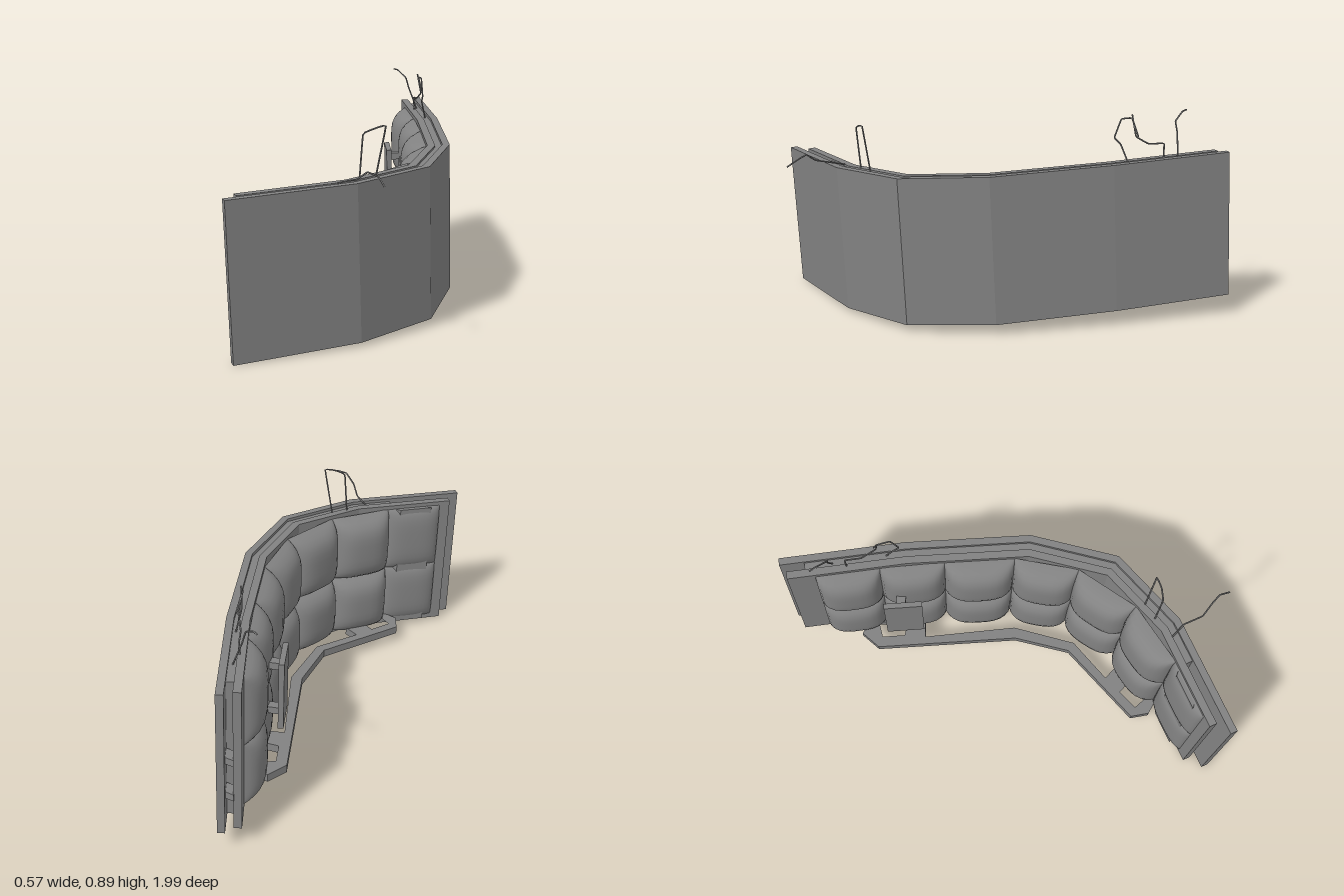
import * as THREE from 'three';

const flatMat = new THREE.MeshStandardMaterial({ color: 0x828282, flatShading: true });
const softMat = new THREE.MeshStandardMaterial({ color: 0x828282, side: THREE.DoubleSide });

// Plan of the wall's convex face as [x, z], from the front end to the rear end
const PLAN = [[-0.257, 0.98], [0.112, 0.633], [0.288, 0.318], [0.252, -0.055], [0.045, -0.53], [-0.196, -0.985]]
  .map(([x, z]) => new THREE.Vector2(x, z));

const inward = (a, b) => {
  const d = b.clone().sub(a).normalize();
  return new THREE.Vector2(d.y, -d.x);
};

// Plan moved towards the concave side, with mitred corners and shortened ends
function offsetPlan(dist, trimFront = 0, trimRear = 0) {
  const pts = PLAN.map((p, i) => {
    const n0 = inward(PLAN[Math.max(i - 1, 0)], PLAN[Math.max(i, 1)]);
    const n1 = i < PLAN.length - 1 ? inward(p, PLAN[i + 1]) : n0;
    const m = n0.clone().add(n1).normalize();
    return p.clone().addScaledVector(m, dist / m.dot(n0));
  });
  const pull = (a, b, t) => a.addScaledVector(b.clone().sub(a).normalize(), t);
  pull(pts[0], pts[1], trimFront);
  pull(pts[5], pts[4], trimRear);
  return pts;
}

// Horizontal outline raised from y0 by a height
function slab(name, pts, y0, height, holes = []) {
  const flip = (list) => list.map((p) => new THREE.Vector2(p.x, -p.y));
  const shape = new THREE.Shape(flip(pts));
  holes.forEach((h) => shape.holes.push(new THREE.Path(flip(h))));
  const geo = new THREE.ExtrudeGeometry(shape, { depth: height, bevelEnabled: false });
  geo.rotateX(-Math.PI / 2).translate(0, y0, 0);
  const mesh = new THREE.Mesh(geo, flatMat);
  mesh.name = name;
  return mesh;
}

const bentPanel = (name, d0, d1, y0, h, tf, tr) =>
  slab(name, [...offsetPlan(d0, tf, tr), ...offsetPlan(d1, tf, tr).reverse()], y0, h);

// Point on a plan line at a given z
function pointAtZ(pts, z) {
  let i = 0;
  while (i < pts.length - 2 && pts[i + 1].y > z) i++;
  const t = (z - pts[i].y) / (pts[i + 1].y - pts[i].y);
  return pts[i].clone().lerp(pts[i + 1], t);
}

// Upright block between two offsets of the plan, from z0 back to z1
function block(name, d0, d1, z0, z1, y0, height) {
  const a = offsetPlan(d0), b = offsetPlan(d1);
  return slab(name, [pointAtZ(a, z0), pointAtZ(a, z1), pointAtZ(b, z1), pointAtZ(b, z0)], y0, height);
}

// Padded cushion domed out from the line a-b
function cushion(a, b, yMid, height, depth) {
  const width = a.distanceTo(b), n = inward(a, b);
  const geo = new THREE.PlaneGeometry(2, 2, 14, 14);
  const p = geo.attributes.position;
  for (let i = 0; i < p.count; i++) {
    const u = Math.sin(p.getX(i) * Math.PI / 2), v = Math.sin(p.getY(i) * Math.PI / 2);
    const dome = Math.sqrt(Math.max(0, (1 - Math.abs(u) ** 3) * (1 - v ** 4)));
    p.setXYZ(i, u * width * 0.51, v * height * 0.51, dome * depth);
  }
  geo.computeVertexNormals();
  const mesh = new THREE.Mesh(geo, softMat);
  mesh.name = 'cushion';
  mesh.position.set((a.x + b.x) / 2, yMid, (a.y + b.y) / 2);
  mesh.rotation.y = Math.atan2(n.x, n.y);
  return mesh;
}

function wire(points) {
  const curve = new THREE.CatmullRomCurve3(points.map((p) => new THREE.Vector3(...p)), false, 'catmullrom', 0.08);
  const mesh = new THREE.Mesh(new THREE.TubeGeometry(curve, points.length * 8, 0.0035, 5), flatMat);
  mesh.name = 'looseWire';
  return mesh;
}

const vecs = (list) => list.map(([x, z]) => new THREE.Vector2(x, z));

export function createModel() {
  const model = new THREE.Group();
  model.name = 'paddedWallSection';

  // The whole wall leans slightly forward
  const wall = new THREE.Group();
  wall.name = 'wall';
  wall.rotation.x = 0.0465;
  wall.position.set(0, 0.0456, -0.014);
  model.add(wall);

  // Outer skin, recessed core and inner backing; the core stops short of both ends
  wall.add(bentPanel('outerPanel', 0, 0.03, 0, 0.63, 0, 0));
  wall.add(bentPanel('core', 0.028, 0.062, 0.012, 0.605, 0.33, 0.1));
  wall.add(bentPanel('innerPanel', 0.06, 0.092, 0.005, 0.62, 0.06, 0.025));

  // Small spacers bridging the gap at the rear end, and a thin strip at the front edge
  for (const y of [0.14, 0.3]) wall.add(block('spacer', 0.028, 0.062, -0.89, -0.94, y, 0.03));
  wall.add(block('frontStrip', 0.1, 0.115, 0.79, 0.69, 0.02, 0.59));

  // Two rows of cushions; the front column is flattened
  const face = offsetPlan(0.09);
  const seams = [0.84, 0.67, 0.45, 0.18, -0.085, -0.35, -0.59, -0.82];
  for (let i = 0; i < seams.length - 1; i++) {
    const a = pointAtZ(face, seams[i]), b = pointAtZ(face, seams[i + 1]);
    const depth = i === 0 ? 0.04 : i > 4 ? 0.085 : 0.1;
    wall.add(cushion(a, b, 0.17, 0.28, depth), cushion(a, b, 0.458, 0.295, depth));
  }

  // Low rail with pierced end brackets
  const rail = slab('rail', vecs([
    [-0.08, 0.66], [-0.14, 0.65], [-0.18, 0.58], [0.015, 0.225], [-0.01, -0.02], [-0.255, -0.58],
    [-0.22, -0.67], [-0.12, -0.66], [-0.06, -0.43], [-0.14, -0.4], [0.035, -0.04], [0.057, 0.235],
    [-0.05, 0.42], [0.02, 0.45],
  ]), 0.025, 0.035, [
    vecs([[-0.205, -0.58], [-0.165, -0.49], [-0.105, -0.5], [-0.145, -0.62]]),
    vecs([[-0.135, 0.585], [-0.09, 0.5], [-0.045, 0.52], [-0.09, 0.61]]),
  ]);
  rail.position.z = 0.013;
  wall.add(rail);

  // Upright grip with two mounting arms
  const handle = new THREE.Group();
  handle.name = 'gripHandle';
  handle.add(slab('grip', vecs([[-0.215, -0.53], [-0.15, -0.385], [-0.13, -0.395], [-0.195, -0.54]]), 0.2, 0.3));
  for (const y of [0.23, 0.44]) {
    handle.add(slab('gripArm', vecs([[-0.18, -0.49], [-0.165, -0.455], [-0.06, -0.49], [-0.075, -0.525]]), y, 0.03));
  }
  wall.add(handle);

  // Loose wires sticking out of the top edge
  [
    [[0.03, 0.64, 0.64], [0.09, 0.66, 0.67], [0.14, 0.68, 0.73], [0.19, 0.715, 0.75], [0.24, 0.705, 0.77], [0.275, 0.68, 0.805]],
    [[0.08, 0.63, 0.55], [0.1, 0.815, 0.56], [0.14, 0.835, 0.54], [0.172, 0.842, 0.51], [0.125, 0.64, 0.495]],
    [[-0.26, 0.88, -0.78], [-0.235, 0.878, -0.765], [-0.185, 0.845, -0.74], [-0.175, 0.8, -0.75], [-0.135, 0.69, -0.76]],
    [[-0.13, 0.69, -0.7], [-0.13, 0.76, -0.7], [-0.1, 0.762, -0.64], [-0.06, 0.8, -0.59], [-0.07, 0.89, -0.57]],
    [[-0.055, 0.8, -0.6], [-0.065, 0.875, -0.57], [-0.037, 0.875, -0.53], [-0.022, 0.8, -0.505], [-0.035, 0.77, -0.53], [-0.03, 0.68, -0.57]],
  ].forEach((pts) => model.add(wire(pts)));

  return model;
}
